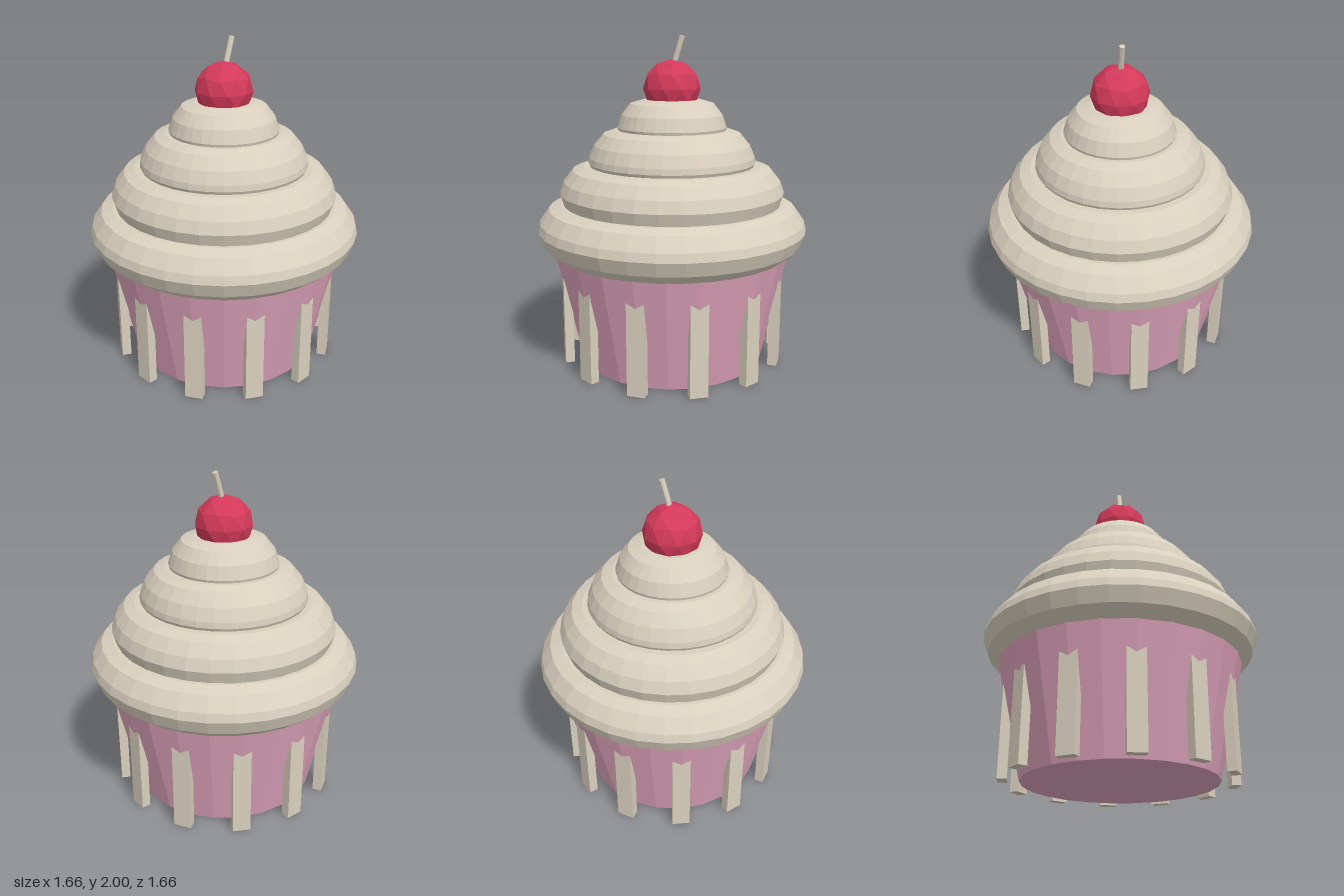
import * as THREE from 'three';

const mat = (name, color) => {
  const m = new THREE.MeshStandardMaterial({ color });
  m.name = name;
  return m;
};

// Faceted look: every triangle gets its own normal
const facet = (geometry) => {
  const g = geometry.index ? geometry.toNonIndexed() : geometry;
  g.computeVertexNormals();
  return g;
};

export function createModel() {
  const cream = mat('cream', 0xd9d0be);
  const pink = mat('pink', 0xdfa4bc);
  const red = mat('cherry red', 0xd43a5a);

  const model = new THREE.Group();
  model.name = 'cupcake';
  const add = (name, geometry, material, parent = model) => {
    const mesh = new THREE.Mesh(facet(geometry), material);
    mesh.name = name;
    parent.add(mesh);
    return mesh;
  };

  // Tapered paper cup
  add('cup', new THREE.CylinderGeometry(0.735, 0.57, 0.72, 24), pink).position.y = 0.36;

  // Twelve upright ribs that sink into the flaring cup wall
  const ribs = new THREE.Group();
  ribs.name = 'ribs';
  model.add(ribs);
  for (let i = 0; i < 12; i++) {
    const a = (i * Math.PI) / 6;
    const rib = add('rib', new THREE.BoxGeometry(0.106, 0.6, 0.055), cream, ribs);
    rib.position.set(Math.sin(a) * 0.6625, 0.3, Math.cos(a) * 0.6625);
    rib.rotation.y = a;
  }

  // Stacked frosting rings, each a [radius, height] profile from bottom to top
  const tiers = [
    [[0, 0.69], [0.73, 0.693], [0.797, 0.75], [0.83, 0.835], [0.817, 0.885], [0.76, 0.965], [0.69, 0.99], [0, 0.995]],
    [[0, 0.96], [0.66, 0.96], [0.69, 1.06], [0.665, 1.13], [0.61, 1.2], [0.545, 1.222], [0, 1.225]],
    [[0, 1.19], [0.49, 1.19], [0.513, 1.24], [0.508, 1.275], [0.477, 1.347], [0.42, 1.415], [0.355, 1.437], [0, 1.44]],
    [[0, 1.4], [0.32, 1.4], [0.334, 1.453], [0.308, 1.53], [0.255, 1.597], [0.18, 1.618], [0, 1.62]],
  ];
  const frosting = new THREE.Group();
  frosting.name = 'frosting';
  model.add(frosting);
  tiers.forEach((profile, i) => {
    const points = profile.map(([r, y]) => new THREE.Vector2(r, y));
    add(`frostingTier${i + 1}`, new THREE.LatheGeometry(points, 32), cream, frosting);
  });

  // Cherry, turned so that a corner points straight up
  const ball = new THREE.IcosahedronGeometry(0.175, 1);
  ball.rotateX(-Math.atan((1 + Math.sqrt(5)) / 2)).rotateY(Math.PI / 2);
  add('cherry', ball, red).position.y = 1.685;

  // Leaning stem
  const stem = add('stem', new THREE.CylinderGeometry(0.017, 0.017, 0.2, 8), cream);
  stem.position.set(0.035, 1.9, 0);
  stem.rotation.z = -0.3;

  return model;
}
